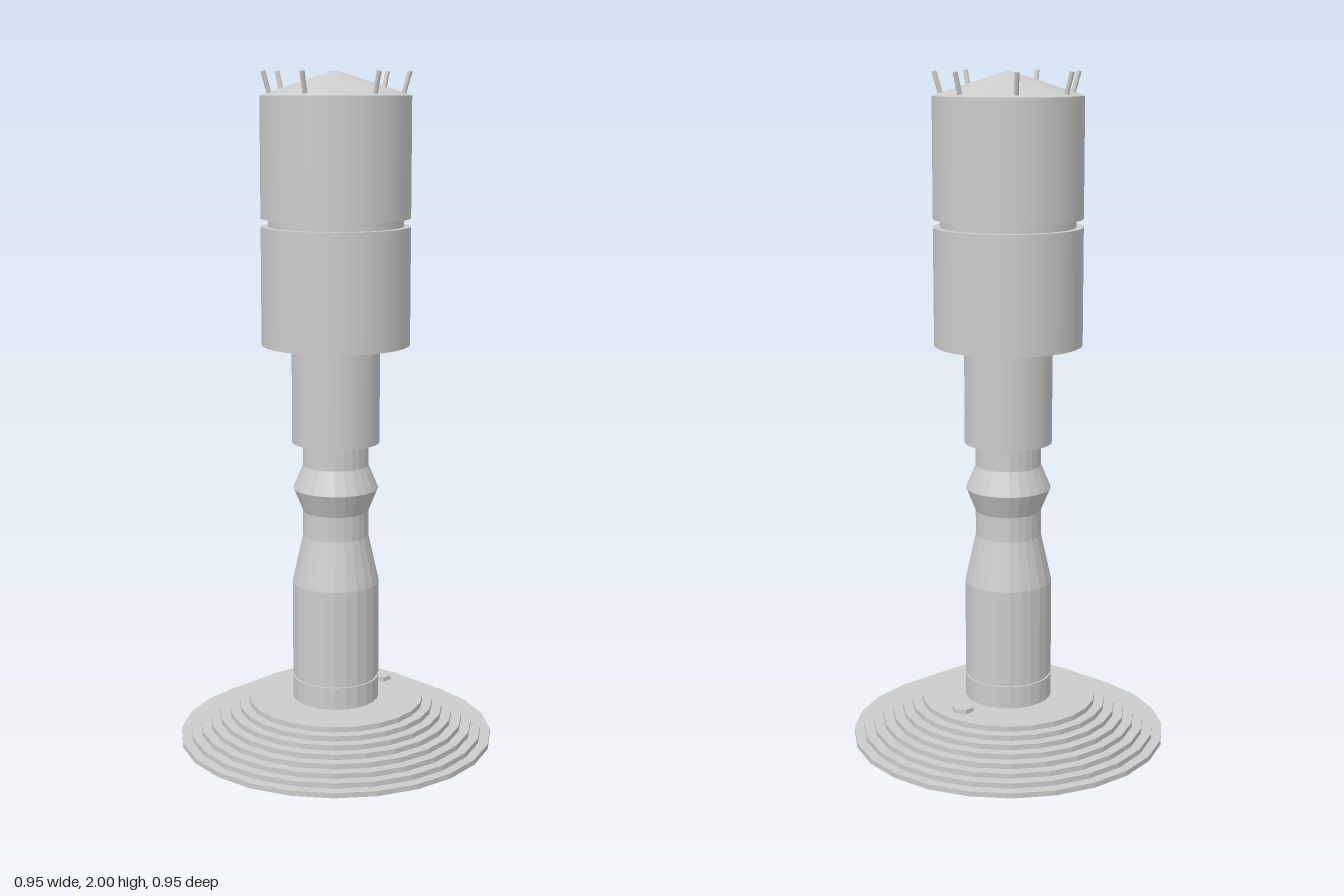
import * as THREE from 'three';

const smooth = new THREE.MeshStandardMaterial({ color: 0xcccccc });
const faceted = new THREE.MeshStandardMaterial({ color: 0xcccccc, flatShading: true });

export function createModel() {
  const model = new THREE.Group();
  const add = (name, geometry, material = smooth) => {
    const mesh = new THREE.Mesh(geometry, material);
    mesh.name = name;
    model.add(mesh);
    return mesh;
  };
  const lathe = (points) =>
    new THREE.LatheGeometry(points.map(([r, y]) => new THREE.Vector2(r, y)), 24);
  const drum = (name, radius, y0, y1) =>
    add(name, new THREE.CylinderGeometry(radius, radius, y1 - y0, 64)).position.y = (y0 + y1) / 2;

  // Stepped round base with a socket open from below
  const steps = 8, baseTop = 0.125, stemRadius = 0.13;
  const profile = [[stemRadius, baseTop], [stemRadius, 0]];
  for (let i = 0; i < steps; i++) {
    const r = 0.475 - i * 0.03;
    profile.push([r, (i * baseTop) / steps], [r, ((i + 1) * baseTop) / steps]);
  }
  profile.push([stemRadius, baseTop]);
  add('steppedBase', lathe(profile), faceted);

  // Hexagonal stud on the base
  const stud = add('baseStud', new THREE.CylinderGeometry(0.033, 0.033, 0.014, 6), faceted);
  stud.rotation.y = Math.PI / 2;
  stud.position.set(0.197, baseTop + 0.006, 0);

  // Turned stem: foot, groove, tapered shaft, waist, ridge and neck
  add('stem', lathe([
    [0, baseTop], [stemRadius, baseTop], [stemRadius, 0.193],
    [0.124, 0.193], [0.124, 0.201], [stemRadius, 0.201],
    [stemRadius, 0.49], [0.098, 0.635], [0.098, 0.71],
    [0.127, 0.78], [0.098, 0.85], [0.098, 0.93],
  ]), faceted);

  // Sleeve and the two head drums with a recessed joint
  drum('sleeve', 0.13, 0.92, 1.22);
  drum('lowerDrum', 0.218, 1.213, 1.558);
  drum('drumJoint', 0.197, 1.55, 1.59);
  drum('upperDrum', 0.218, 1.582, 1.93);

  // Shallow conical cap
  add('cap', new THREE.ConeGeometry(0.218, 0.07, 64, 1, true)).position.y = 1.965;

  // Pins around the rim, leaning outward
  const up = new THREE.Vector3(0, 1, 0);
  for (const degrees of [0, 50, 100, 150, 200, 260, 310]) {
    const a = THREE.MathUtils.degToRad(degrees);
    const at = (r, y) => new THREE.Vector3(r * Math.cos(a), y, -r * Math.sin(a));
    const foot = at(0.193, 1.932), tip = at(0.212, 1.998);
    const axis = tip.clone().sub(foot);
    const pin = add('rimPin', new THREE.CylinderGeometry(0.007, 0.007, axis.length(), 12));
    pin.position.copy(foot).add(tip).multiplyScalar(0.5);
    pin.quaternion.setFromUnitVectors(up, axis.normalize());
  }
  return model;
}
